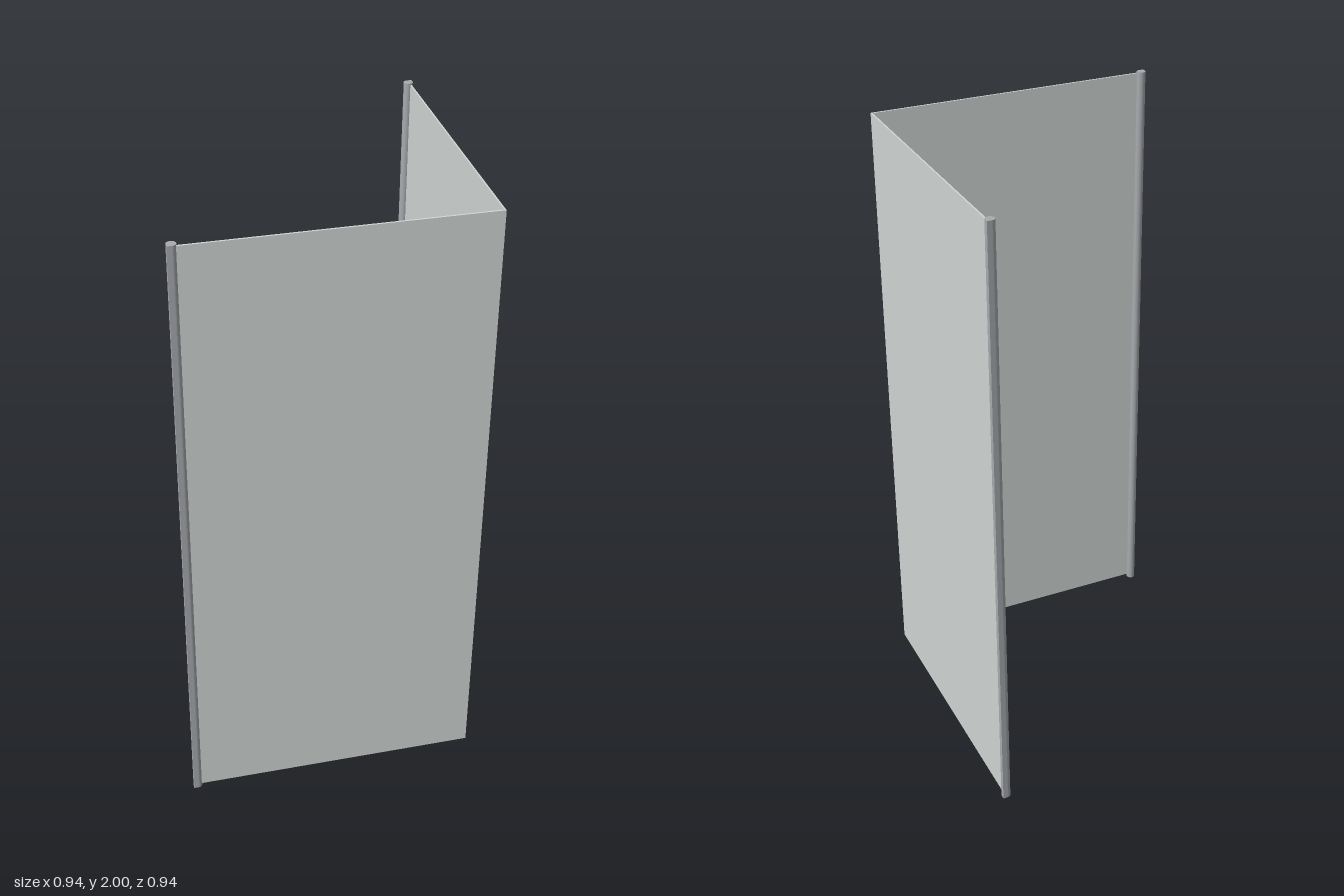
import * as THREE from 'three';

const glass = new THREE.MeshStandardMaterial({ color: 0xd0d6d4 });
const metal = new THREE.MeshStandardMaterial({ color: 0xa8aaae });

// Box given by its min and max corners
function box(name, material, [x0, y0, z0], [x1, y1, z1]) {
  const mesh = new THREE.Mesh(new THREE.BoxGeometry(x1 - x0, y1 - y0, z1 - z0), material);
  mesh.position.set((x0 + x1) / 2, (y0 + y1) / 2, (z0 + z1) / 2);
  mesh.name = name;
  return mesh;
}

// Wall post: round profile with one square corner at local (-x, +z)
function wallPost(name, x, z, turn) {
  const r = 0.0145;
  const shape = new THREE.Shape();
  shape.moveTo(-r, -r);
  shape.lineTo(0, -r);
  shape.absarc(0, 0, r, -Math.PI / 2, Math.PI, false);
  shape.closePath();
  const geometry = new THREE.ExtrudeGeometry(shape, { depth: 2, bevelEnabled: false, curveSegments: 24 });
  geometry.rotateX(-Math.PI / 2);
  const mesh = new THREE.Mesh(geometry, metal);
  mesh.position.set(x, 0, z);
  mesh.rotation.y = turn;
  mesh.name = name;
  return mesh;
}

// Pull handle: two upright grips joined by short arms at top and bottom
function pullHandle() {
  const handle = new THREE.Group();
  handle.name = 'pullHandle';
  const bottom = 0.86, top = 1.08, t = 0.02;
  handle.add(
    box('outerGrip', metal, [0.394, bottom, 0.409], [0.413, top, 0.429]),
    box('innerGrip', metal, [0.411, bottom, 0.392], [0.429, top, 0.411])
  );
  for (const y of [bottom, top - t]) {
    handle.add(
      box('frontArm', metal, [0.394, y, 0.429], [0.413, y + t, 0.455]),
      box('sideArm', metal, [0.413, y, 0.411], [0.438, y + t, 0.429])
    );
  }
  return handle;
}

export function createModel() {
  const model = new THREE.Group();
  model.name = 'cornerShowerScreen';
  // Two glass panels meeting at the front corner
  model.add(
    box('frontPanel', glass, [-0.457, 0.01, 0.458], [0.465, 1.995, 0.464]),
    box('sidePanel', glass, [0.46, 0.01, -0.457], [0.465, 1.995, 0.458])
  );
  // Posts at the free ends, square corners pointing outward
  model.add(
    wallPost('frontPost', -0.458, 0.456, 0),
    wallPost('sidePost', 0.457, -0.459, Math.PI)
  );
  model.add(pullHandle());
  return model;
}
